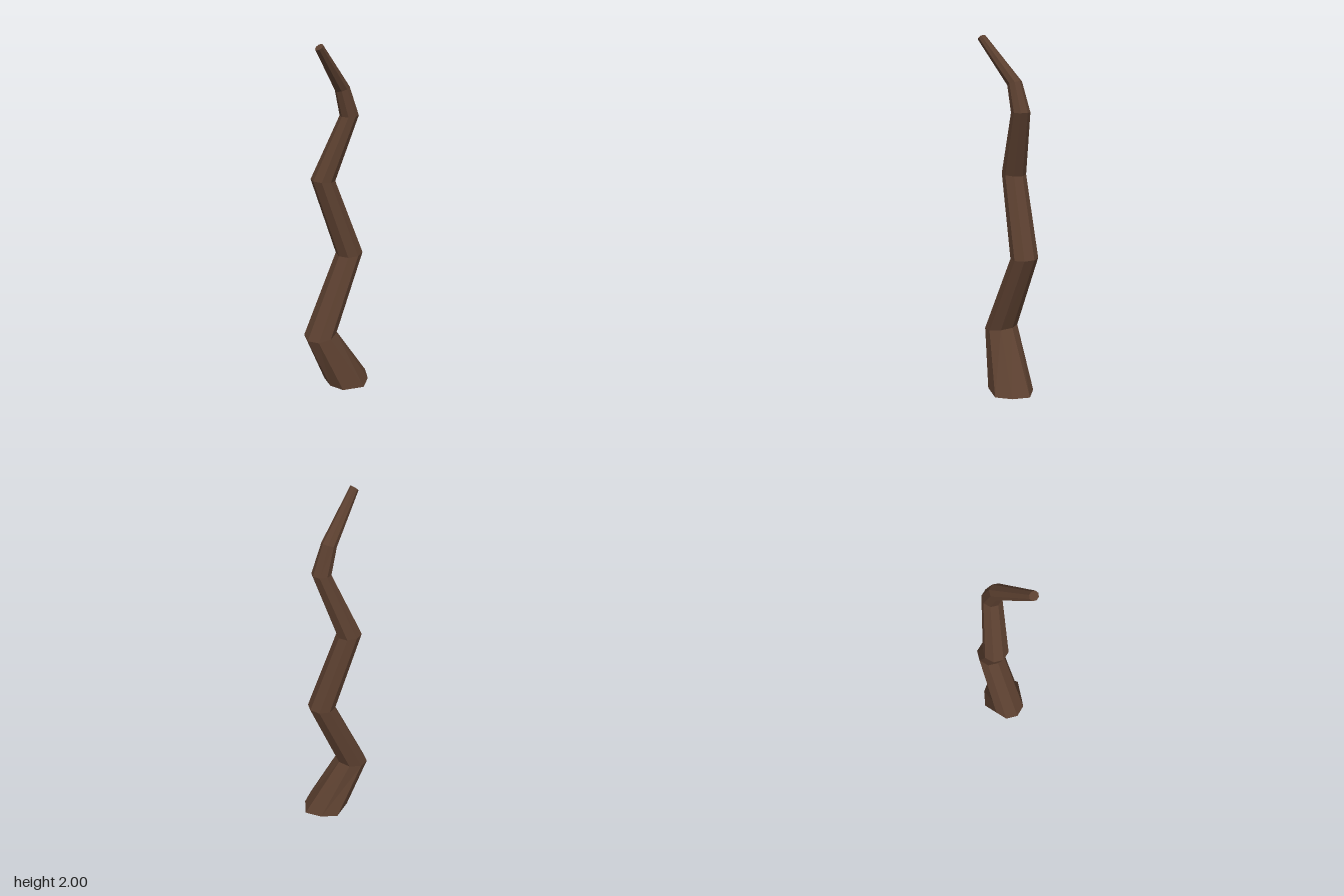
import * as THREE from 'three';

// Rings from base to tip: centre x, y, z, radius in x, radius in z, rise per unit of x
const RINGS = [
  [0.055, 0, 0.018, 0.14, 0.139, 0],
  [-0.105, 0.33, -0.047, 0.094, 0.095, 0.16],
  [0.1, 0.795, -0.028, 0.077, 0.077, 0.06],
  [-0.042, 1.245, -0.088, 0.068, 0.068, -0.08],
  [0.082, 1.6, -0.013, 0.052, 0.051, 0.03],
  [0.034, 1.75, -0.015, 0.039, 0.039, 0.36],
  [-0.163, 1.985, 0.037, 0.018, 0.024, 0.8],
];

export function createModel() {
  const group = new THREE.Group();
  group.name = 'twistedBranch';

  const bark = new THREE.MeshStandardMaterial({ color: 0x5c4030 });
  bark.name = 'bark brown';

  // Eight-sided capped column, each ring moved to its place along the crooked stem
  const segments = RINGS.length - 1;
  const column = new THREE.CylinderGeometry(1, 1, 1, 8, segments);
  const pos = column.attributes.position;
  for (let i = 0; i < pos.count; i++) {
    const ring = Math.round((pos.getY(i) + 0.5) * segments);
    const [cx, cy, cz, rx, rz, tilt] = RINGS[ring];
    let dx = pos.getX(i) * rx;
    let dz = pos.getZ(i) * rz;
    // Slightly uneven foot: pull in the diagonal corners
    if (ring === 0 && Math.abs(dx * dz) > 0.001) {
      dx -= 0.015;
      dz *= 0.87;
    }
    pos.setXYZ(i, cx + dx, cy + dx * tilt, cz + dz);
  }

  // Faceted normals
  const faceted = column.toNonIndexed();
  faceted.computeVertexNormals();

  const stem = new THREE.Mesh(faceted, bark);
  stem.name = 'crookedStem';
  group.add(stem);
  return group;
}
